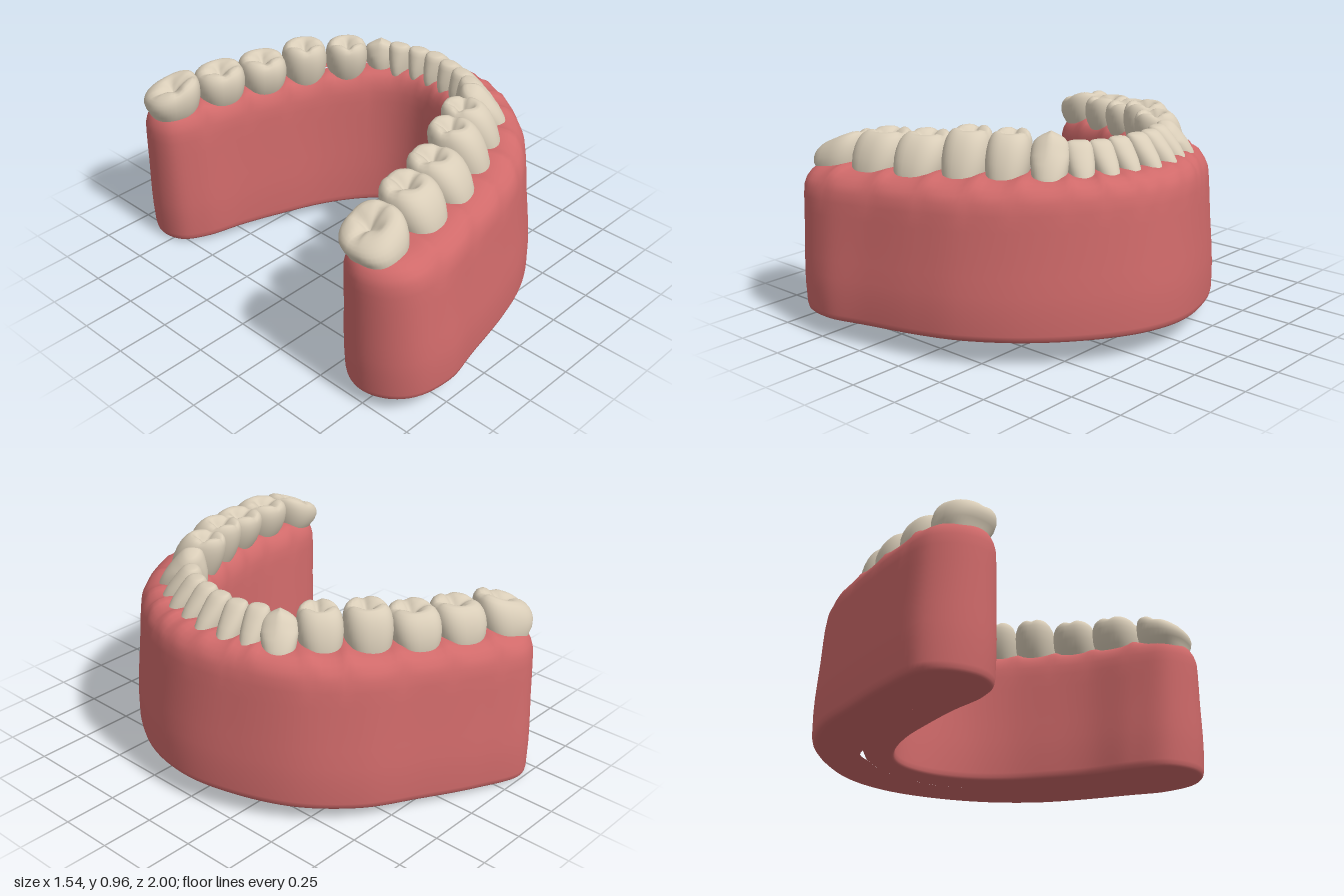
import * as THREE from 'three';

// Teeth along the arch: x, z, width along arch, depth across it, top height, kind, inward lean, end slope
const TEETH = [
  [-0.445, -0.78, 0.26, 0.25, 0.84, 'molar', 0.03, 0.35],
  [-0.22, -0.70, 0.235, 0.25, 0.87, 'molar', 0.03, 0.1],
  [-0.02, -0.615, 0.225, 0.25, 0.885, 'molar', 0.03, 0],
  [0.16, -0.51, 0.215, 0.23, 0.925, 'premolar', 0.03, 0],
  [0.32, -0.38, 0.20, 0.22, 0.925, 'premolar', 0.04, 0],
  [0.46, -0.28, 0.16, 0.19, 0.92, 'canine', 0.05, 0],
  [0.49, -0.175, 0.11, 0.20, 0.92, 'incisor', 0.05, 0],
  [0.52, -0.075, 0.108, 0.20, 0.92, 'incisor', 0.05, 0],
  [0.525, 0.03, 0.108, 0.21, 0.925, 'incisor', 0.05, 0],
  [0.505, 0.135, 0.108, 0.20, 0.925, 'incisor', 0.05, 0],
  [0.48, 0.235, 0.11, 0.20, 0.925, 'incisor', 0.05, 0],
  [0.43, 0.325, 0.12, 0.20, 0.93, 'incisor', 0.05, 0],
  [0.345, 0.415, 0.165, 0.23, 0.97, 'canine', 0.06, 0],
  [0.19, 0.50, 0.19, 0.24, 0.965, 'premolar', 0.07, 0],
  [0.02, 0.575, 0.205, 0.25, 0.965, 'premolar', 0.07, 0],
  [-0.18, 0.645, 0.225, 0.26, 0.93, 'molar', 0.07, 0],
  [-0.395, 0.685, 0.24, 0.26, 0.915, 'molar', 0.06, -0.05],
  [-0.64, 0.70, 0.25, 0.27, 0.855, 'molar', 0.03, -0.45],
];

// Outline of the gum seen from above
const OUTLINE = [
  [-0.60, -0.82], [-0.53, -0.94], [-0.38, -1.0], [-0.14, -0.925], [0.12, -0.805], [0.37, -0.68],
  [0.575, -0.485], [0.71, -0.23], [0.77, 0.02], [0.74, 0.25], [0.62, 0.48], [0.42, 0.70],
  [0.2, 0.84], [0, 0.905], [-0.25, 0.955], [-0.5, 0.997], [-0.68, 0.96], [-0.775, 0.86],
  [-0.80, 0.72], [-0.72, 0.58], [-0.55, 0.53], [-0.3, 0.515], [-0.1, 0.465], [0.1, 0.395],
  [0.25, 0.295], [0.36, 0.15], [0.4, 0], [0.375, -0.12], [0.29, -0.235], [0.14, -0.355],
  [-0.06, -0.46], [-0.26, -0.55], [-0.46, -0.615], [-0.575, -0.69],
];

const gumBase = (x, z) => 0.072 + 0.048 * x + 0.045 * z;
const gumTop = (x, z) => 0.765 + 0.06 * x + 0.03 * z;
const flat = ([x, z]) => new THREE.Vector3(x, 0, z);

// Smooth skin over closed rings of equal length, listed from bottom to top
function skin(rings) {
  const n = rings[0].length, index = [];
  for (let j = 0; j < rings.length - 1; j++) {
    for (let i = 0; i < n; i++) {
      const a = j * n + i, b = j * n + (i + 1) % n;
      index.push(a, a + n, b, b, a + n, b + n);
    }
  }
  const geo = new THREE.BufferGeometry().setFromPoints(rings.flat());
  geo.setIndex(index);
  geo.computeVertexNormals();
  return geo;
}

// Gum: the outline stacked in levels and drawn in towards the tooth line
function gumGeometry() {
  const outline = new THREE.CatmullRomCurve3(OUTLINE.map(flat), true).getSpacedPoints(260).slice(0, -1);
  const centres = TEETH.map(flat);
  const spine = new THREE.CatmullRomCurve3(centres).getSpacedPoints(400);
  const anchors = outline.map(p => spine.reduce((a, b) => (b.distanceToSquared(p) < a.distanceToSquared(p) ? b : a)));
  // 0 at the middle of a tooth, 1 between two teeth
  const gaps = anchors.map(p => {
    const d = centres.map(c => c.distanceTo(p)).sort((a, b) => a - b);
    return Math.pow(d[0] / d[1], 2);
  });
  const levels = [ // height fraction, inward fraction
    [0, 1], [0, 0.5], [0, 0.12], [0.004, 0.06], [0.02, 0.02], [0.05, 0], [0.2, 0], [0.3, 0.015], [0.42, 0.045],
    [0.55, 0.08], [0.7, 0.11], [0.8, 0.135], [0.87, 0.175], [0.92, 0.235], [0.96, 0.32], [0.985, 0.43],
    [1, 0.56], [1, 0.75], [1, 1],
  ];
  return skin(levels.map(([v, f]) => outline.map((p, i) => {
    const ripple = THREE.MathUtils.smoothstep(v, 0.78, 1);
    const bulge = 0.16 * ripple * (1 - ripple) * (gaps[i] - 0.5);
    const q = p.clone().lerp(anchors[i], Math.min(1, f + bulge));
    // Both back ends slope forward towards the base
    q.x += 0.045 * THREE.MathUtils.smoothstep(-q.x, 0.3, 0.6) * (1 - v);
    const y0 = gumBase(q.x, q.z), y1 = gumTop(q.x, q.z) + 0.022 * ripple * (gaps[i] - 0.3);
    q.y = y0 + (y1 - y0) * v;
    return q;
  })));
}

// Crown levels: height fraction, width scale, depth scale
const GRINDER = [
  [-0.5, 0.7, 0.7], [0, 0.84, 0.9], [0.2, 0.94, 0.98], [0.45, 1, 1], [0.65, 0.99, 0.96], [0.8, 0.94, 0.89],
  [0.91, 0.85, 0.79], [0.98, 0.72, 0.67], [1, 0.58, 0.55], [0.98, 0.46, 0.44], [0.95, 0.34, 0.33],
  [0.92, 0.22, 0.21], [0.9, 0.11, 0.1], [0.9, 0, 0],
];
const BLADE = [
  [-0.5, 0.7, 0.85], [0, 0.82, 0.97], [0.2, 0.92, 0.96], [0.45, 1, 0.84], [0.65, 1, 0.68], [0.82, 0.97, 0.53],
  [0.93, 0.87, 0.4], [0.98, 0.72, 0.28], [1, 0.5, 0.15], [1, 0, 0],
];

function toothGeometry(i) {
  const [x, z, w, d, top, kind, lean, slope] = TEETH[i];
  const along = flat(TEETH[Math.min(i + 1, TEETH.length - 1)]).sub(flat(TEETH[Math.max(i - 1, 0)])).normalize();
  const out = new THREE.Vector3(along.z, 0, -along.x);
  const grinder = kind === 'molar' || kind === 'premolar';
  const base = gumTop(x, z) - 0.03, h = top - base;
  const power = kind === 'molar' ? 0.8 : kind === 'premolar' ? 0.88 : 0.95;
  const round = c => Math.sign(c) * Math.pow(Math.abs(c), power);
  return skin((grinder ? GRINDER : BLADE).map(([v, sw, sd], level) => {
    const ring = [];
    for (let k = 0; k < 40; k++) {
      const a = k / 40 * Math.PI * 2;
      const r = round(Math.cos(a)) * sd, t = round(Math.sin(a)) * sw;
      let y = base + h * v;
      // Crossing grooves between the cusps, fading out towards the cheek side
      if (grinder && level > 5) {
        const depth = Math.min(1, (level - 5) / 3);
        y -= 0.018 * depth * Math.exp(-Math.pow(t / 0.16, 2)) * (1 - THREE.MathUtils.smoothstep(r, 0.2, 0.6));
        y -= 0.018 * depth * Math.exp(-Math.pow((r + 0.05) / 0.14, 2));
      }
      // Raised middle point on canines
      if (kind === 'canine' && v > 0.6) y -= 0.035 * Math.abs(t) * v;
      y += slope * t * w / 2 * Math.max(0, v);
      // Narrower on the tongue side
      const taper = 1 + (grinder ? 0.06 : 0.18) * r;
      const across = r * d / 2 - lean * (v - 0.5);
      ring.push(new THREE.Vector3(x, y, z).addScaledVector(along, t * taper * w / 2).addScaledVector(out, across));
    }
    return ring;
  }));
}

export function createModel() {
  const gumPink = new THREE.MeshStandardMaterial({ color: 0xd06a6a });
  gumPink.name = 'gumPink';
  const enamel = new THREE.MeshStandardMaterial({ color: 0xd9cdb8 });
  enamel.name = 'enamel';

  const model = new THREE.Group();
  model.name = 'lowerJaw';
  const gum = new THREE.Mesh(gumGeometry(), gumPink);
  gum.name = 'gum';
  model.add(gum);

  const teeth = new THREE.Group();
  teeth.name = 'teeth';
  TEETH.forEach((tooth, i) => {
    const mesh = new THREE.Mesh(toothGeometry(i), enamel);
    mesh.name = `${tooth[5]}${i + 1}`;
    teeth.add(mesh);
  });
  model.add(teeth);
  return model;
}
